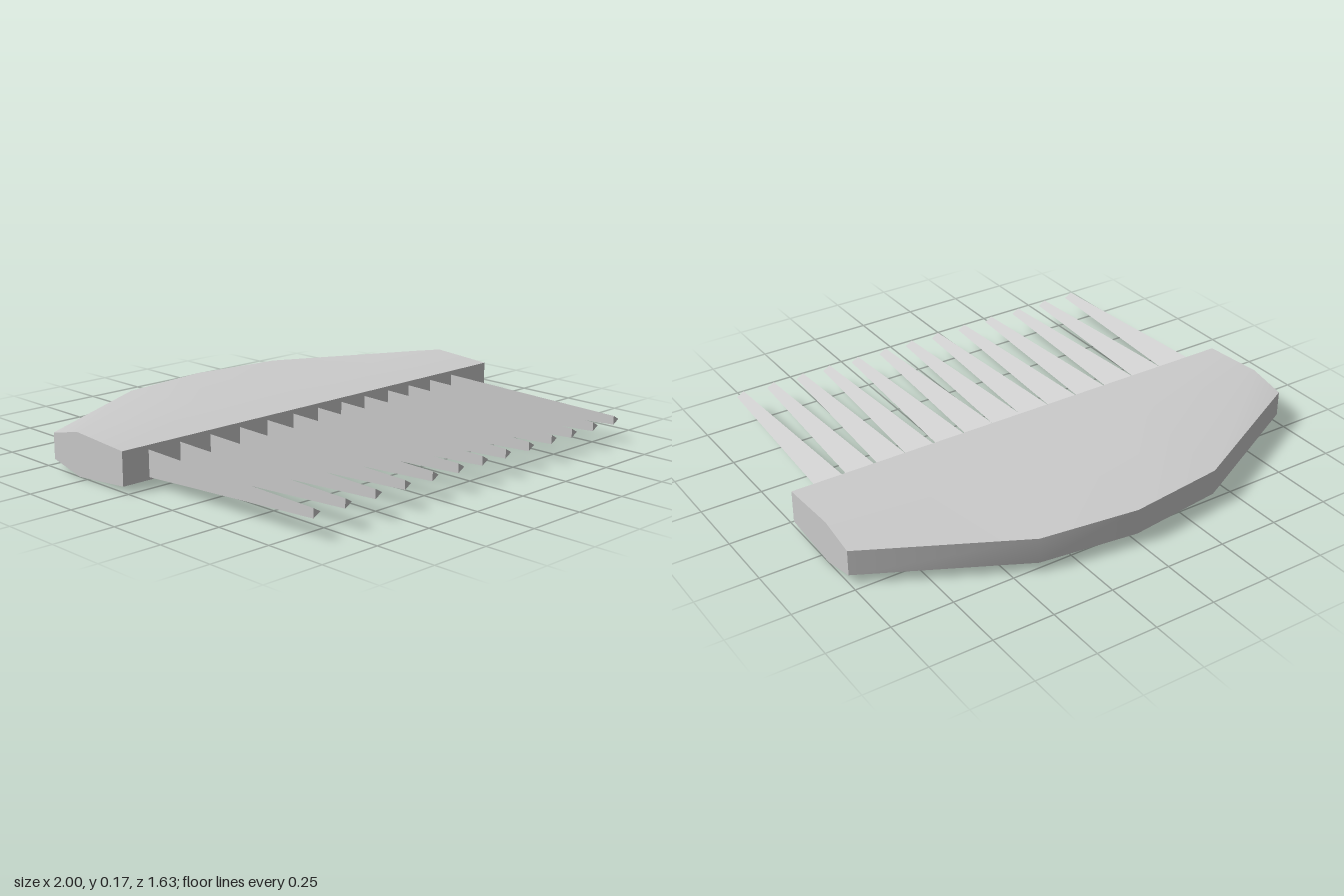
import * as THREE from 'three';
import { toCreasedNormals } from 'three/addons/utils/BufferGeometryUtils.js';

const FRONT = -0.03, RIDGE = -0.3, BACK = -0.815, TIP = 0.815;

// Handle: a six-point section swept along x; only its back edge moves.
function handleGeometry() {
  const stations = [[-1, -0.455], [-0.4, -0.765], [0, BACK], [0.4, -0.765], [1, -0.455]];
  const section = back => [
    [0.022, FRONT], [0.155, FRONT], [0.172, RIDGE],
    [0.14, back], [0.036, back], [0, RIDGE],
  ];
  const rings = stations.map(([x, back]) => section(back).map(([y, z]) => [x, y, z]));
  const pos = [];
  const tri = (a, b, c) => pos.push(...a, ...b, ...c);
  for (let i = 0; i < rings.length - 1; i++) {
    const r = rings[i], s = rings[i + 1];
    for (let j = 0; j < 6; j++) {
      const k = (j + 1) % 6;
      tri(r[j], s[j], s[k]);
      tri(r[j], s[k], r[k]);
    }
  }
  // End faces
  const first = rings[0], last = rings[rings.length - 1];
  for (let j = 1; j < 5; j++) {
    tri(first[0], first[j], first[j + 1]);
    tri(last[0], last[j + 1], last[j]);
  }
  const g = new THREE.BufferGeometry();
  g.setAttribute('position', new THREE.Float32BufferAttribute(pos, 3));
  return toCreasedNormals(g, 0.4);
}

// Tooth: a tapered three-sided spike along z, with one edge towards +x.
function toothGeometry() {
  const length = TIP - FRONT;
  const g = new THREE.CylinderGeometry(0.021, 0.061, length, 3, 1);
  g.rotateY(Math.PI / 2);
  g.rotateX(Math.PI / 2);
  g.translate(0, 0, length / 2);
  // Lift the tip a little, keeping the ends upright
  const p = g.attributes.position;
  for (let i = 0; i < p.count; i++) p.setY(i, p.getY(i) + 0.008 * p.getZ(i) / length);
  return g;
}

export function createModel() {
  const group = new THREE.Group();
  group.name = 'comb';
  const smooth = new THREE.MeshStandardMaterial({ color: 0xcccccc });
  const flat = new THREE.MeshStandardMaterial({ color: 0xcccccc, flatShading: true });

  const handle = new THREE.Mesh(handleGeometry(), smooth);
  handle.name = 'handle';
  group.add(handle);

  // Row of slightly uneven teeth
  const teeth = new THREE.Group();
  teeth.name = 'teeth';
  const geometry = toothGeometry();
  const places = [-0.85, -0.703, -0.557, -0.411, -0.268, -0.13, 0.003, 0.135, 0.271, 0.409, 0.535, 0.671, 0.808];
  places.forEach((x, i) => {
    const tooth = new THREE.Mesh(geometry, flat);
    tooth.name = `tooth${i + 1}`;
    tooth.position.set(x, 0.085, FRONT);
    teeth.add(tooth);
  });
  group.add(teeth);
  return group;
}
